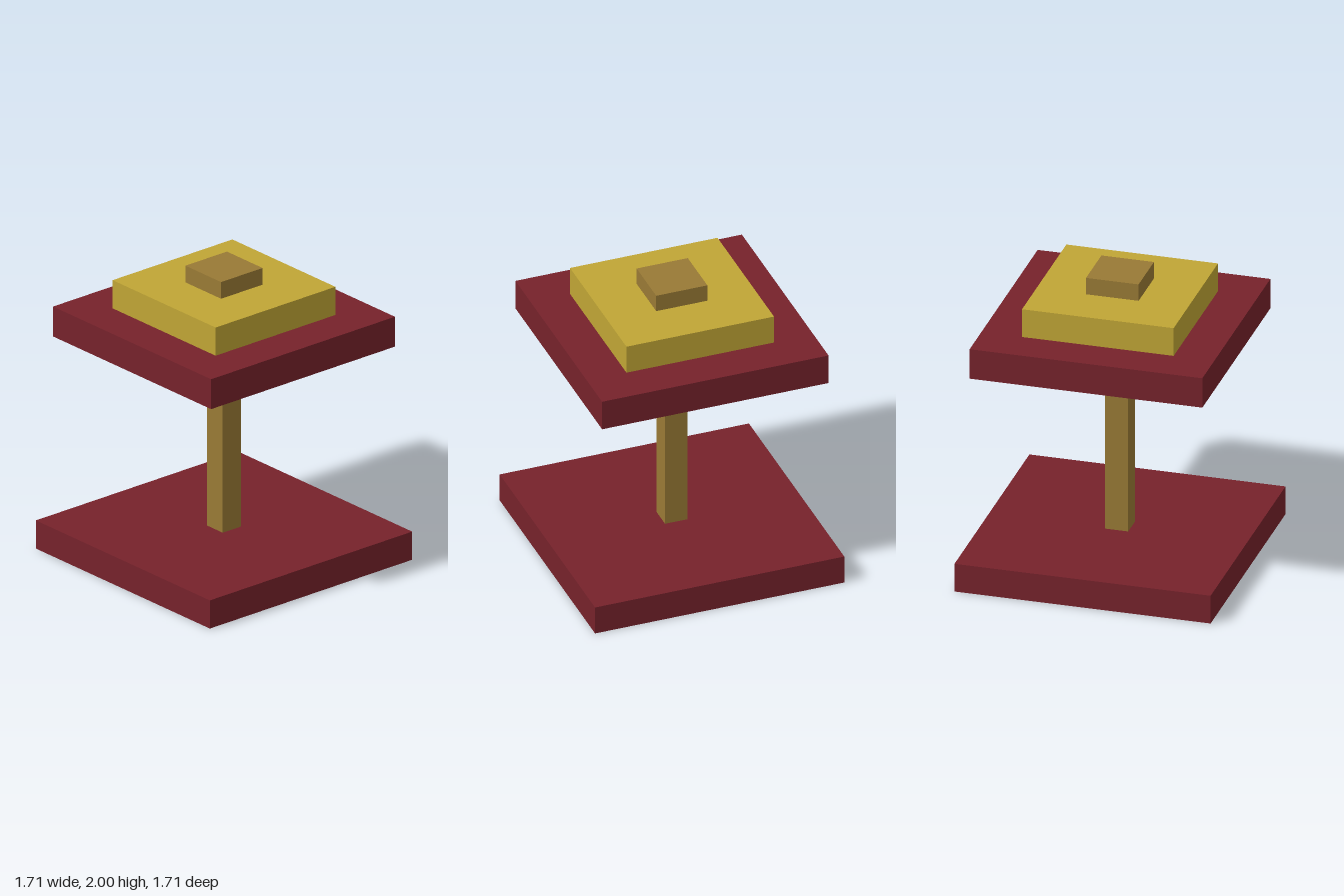
import * as THREE from 'three';

export function createModel() {
  const model = new THREE.Group();
  model.name = 'pedestalTable';

  const material = (name, color) => {
    const m = new THREE.MeshStandardMaterial({ color });
    m.name = name;
    return m;
  };
  const red = material('dark red', 0x76222b);
  red.side = THREE.DoubleSide; // the base is an open shell
  const yellow = material('mustard yellow', 0xc0a535);
  const brown = material('wood brown', 0x997a35);

  // Square block centred on the axis, spanning bottom to top
  const block = (name, half, bottom, top, mat) => {
    const geometry = new THREE.BoxGeometry(2 * half, top - bottom, 2 * half);
    const mesh = new THREE.Mesh(geometry, mat);
    mesh.name = name;
    mesh.position.y = (bottom + top) / 2;
    model.add(mesh);
    return mesh;
  };

  // Base: a hollow box without its underside (fourth side of the box geometry)
  const base = block('base', 0.853, 0, 0.196, red).geometry;
  const index = Array.from(base.index.array);
  index.splice(18, 6);
  base.setIndex(index);
  base.clearGroups();

  // Post, table top and the two stacked blocks
  block('post', 0.077, 0.196, 1.48, brown);
  block('tableTop', 0.775, 1.48, 1.688, red);
  block('upperSlab', 0.505, 1.688, 1.884, yellow);
  block('topBlock', 0.175, 1.884, 2, brown);

  return model;
}
